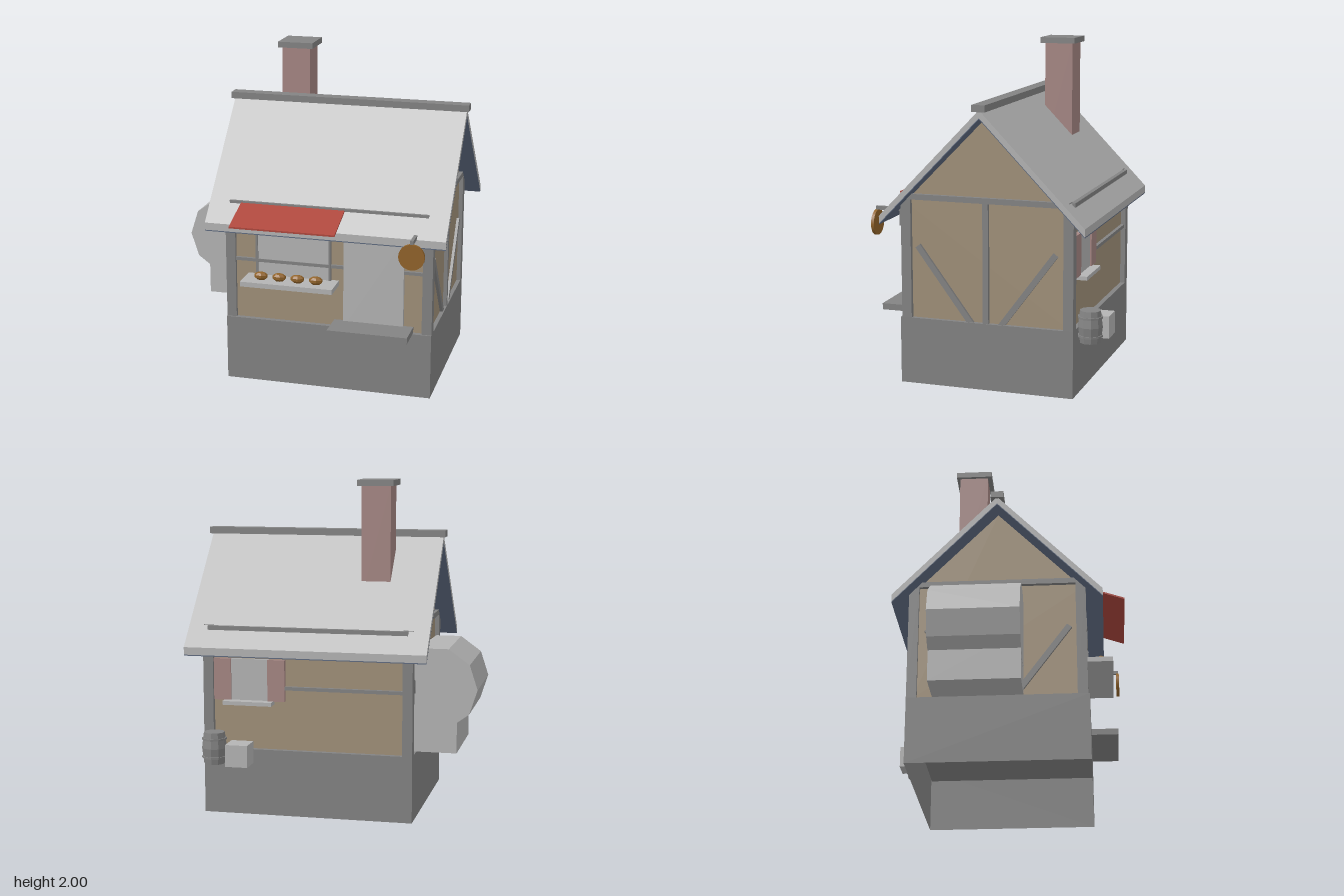
import * as THREE from 'three';

const mat = (name, color, extra = {}) =>
  Object.assign(new THREE.MeshStandardMaterial({ color, ...extra }), { name });

export function createModel() {
  const stone = mat('stone grey', 0x838383, { side: THREE.DoubleSide });
  const timber = mat('timber grey', 0x838383);
  const pale = mat('pale grey', 0xb4b4b4);
  const plaster = mat('tan plaster', 0xa09079);
  const brick = mat('mauve brick', 0xa58683);
  const slate = mat('slate blue', 0x5f6b80);
  const red = mat('awning red', 0xae473d);
  const brown = mat('bread brown', 0x91632a);

  const model = new THREE.Group();
  model.name = 'bakeryHouse';

  const add = (name, geometry, material) => {
    const mesh = new THREE.Mesh(geometry, material);
    mesh.name = name;
    model.add(mesh);
    return mesh;
  };
  // Box given by its limits on each axis
  const box = (name, m, x0, x1, y0, y1, z0, z1) => {
    const mesh = add(name, new THREE.BoxGeometry(x1 - x0, y1 - y0, z1 - z0), m);
    mesh.position.set((x0 + x1) / 2, (y0 + y1) / 2, (z0 + z1) / 2);
    return mesh;
  };
  // Profile of [z, y] points extruded along x
  const extrudeX = (name, m, pts, x0, x1) => {
    const shape = new THREE.Shape(pts.map(([z, y]) => new THREE.Vector2(-z, y)));
    const g = new THREE.ExtrudeGeometry(shape, { depth: x1 - x0, bevelEnabled: false });
    return add(name, g.rotateY(Math.PI / 2).translate(x0, 0, 0), m);
  };
  const faceted = (g) => {
    const flat = g.index ? g.toNonIndexed() : g;
    flat.computeVertexNormals();
    return flat;
  };

  // Foundation, hollow and open underneath, with a floor inside
  const baseGeo = new THREE.BoxGeometry(1.27, 0.4, 1.06);
  const idx = Array.from(baseGeo.index.array);
  idx.splice(18, 6);
  baseGeo.setIndex(idx);
  baseGeo.clearGroups();
  add('foundation', baseGeo, stone).position.set(0.125, 0.2, -0.03);
  box('floor', timber, -0.505, 0.755, 0.33, 0.395, -0.555, 0.495);

  // Walls with gables
  extrudeX('walls', plaster,
    [[0.47, 0.4], [0.47, 1.09], [-0.03, 1.6], [-0.53, 1.09], [-0.53, 0.4]], -0.485, 0.735);

  // Roof, with a coloured underside
  const chevron = (top, bottom) => [
    [0.59, top - 0.64], [-0.03, top], [-0.65, top - 0.64],
    [-0.65, bottom - 0.64], [-0.03, bottom], [0.59, bottom - 0.64]];
  extrudeX('roof', pale, chevron(1.66, 1.615), -0.605, 0.85);
  extrudeX('roofUnderside', slate, chevron(1.615, 1.609), -0.605, 0.85);
  box('ridgeCap', timber, -0.62, 0.865, 1.65, 1.69, -0.07, 0.01);

  // Chimney
  box('chimney', brick, -0.325, -0.148, 1.3, 1.97, -0.285, -0.11);
  box('chimneyCap', timber, -0.345, -0.125, 1.965, 2, -0.305, -0.085);

  // Corner posts and top plates
  for (const x of [-0.51, 0.7]) {
    for (const z of [0.43, -0.56]) box('cornerPost', timber, x, x + 0.06, 0.4, 1.11, z, z + 0.06);
    box('sidePlate', timber, x, x + 0.06, 1.11, 1.143, -0.535, 0.467);
  }
  box('frontPlate', timber, -0.48, 0.73, 1.115, 1.14, 0.43, 0.49);
  box('backPlate', timber, -0.48, 0.73, 1.115, 1.14, -0.56, -0.5);

  // Side studs and diagonal braces
  const brace = (x, z0, y0, z1, y1) => {
    const dz = z1 - z0, dy = y1 - y0;
    const b = add('brace', new THREE.BoxGeometry(0.025, Math.hypot(dz, dy), 0.035), timber);
    b.position.set(x, (y0 + y1) / 2, (z0 + z1) / 2);
    b.rotation.x = Math.atan2(dz, dy);
  };
  for (const x of [-0.49, 0.74]) {
    box('sideStud', timber, x - 0.018, x + 0.018, 0.4, 1.11, -0.048, -0.014);
    brace(x, 0.06, 0.39, 0.39, 0.835);
    brace(x, -0.12, 0.39, -0.45, 0.835);
  }

  // Front rails, serving window and door
  box('frontRail', timber, -0.45, 0.25, 0.765, 0.784, 0.465, 0.488);
  box('frontRail', timber, 0.56, 0.7, 0.765, 0.784, 0.465, 0.488);
  box('servingWindow', pale, -0.31, 0.13, 0.685, 0.955, 0.465, 0.484);
  for (const x of [-0.322, 0.13]) box('windowFrameSide', timber, x, x + 0.014, 0.685, 0.965, 0.465, 0.492);
  box('windowFrameTop', timber, -0.322, 0.144, 0.952, 0.966, 0.465, 0.492);
  box('door', pale, 0.222, 0.588, 0.4, 0.99, 0.465, 0.492);
  box('doorStep', timber, 0.165, 0.648, 0.402, 0.44, 0.48, 0.665);

  // Counter with loaves
  box('counter', pale, -0.375, 0.19, 0.655, 0.685, 0.47, 0.64);
  for (let i = 0; i < 4; i++) {
    const g = faceted(new THREE.SphereGeometry(1, 7, 5)).scale(0.044, 0.026, 0.029);
    add('loaf', faceted(g), brown).position.set(-0.265 + i * 0.113, 0.708, 0.57);
  }

  // Sloping awning
  extrudeX('awning', red, [[0.46, 1.14], [0.72, 1.05], [0.72, 1.04], [0.46, 1.13]], -0.41, 0.227);

  // Hanging round sign on a bracket
  box('signBracket', timber, 0.66, 0.68, 1.02, 1.042, 0.46, 0.682);
  box('signMount', timber, 0.655, 0.685, 0.935, 1.02, 0.48, 0.53);
  const sign = add('sign', new THREE.CylinderGeometry(0.077, 0.077, 0.018, 20), brown);
  sign.rotation.x = Math.PI / 2;
  sign.position.set(0.67, 0.944, 0.678);

  // Oven on the side wall: ten-sided vault on a block
  const vault = faceted(new THREE.CylinderGeometry(0.25, 0.25, 0.53, 10));
  vault.rotateX(Math.PI / 2);
  // turn the vault so one corner points straight out
  vault.rotateZ(Math.PI / 2);
  add('ovenVault', vault, pale).position.set(-0.62, 0.785, -0.145);
  box('ovenBase', pale, -0.75, -0.49, 0.4, 0.7, -0.409, 0.119);

  // Back rail, window, shutters and sill
  box('backRail', timber, -0.45, 0.26, 0.765, 0.786, -0.552, -0.525);
  box('backWindow', pale, 0.36, 0.59, 0.69, 0.945, -0.548, -0.525);
  for (const x of [0.26, 0.59]) box('shutter', brick, x, x + 0.105, 0.695, 0.945, -0.558, -0.53);
  box('backSill', pale, 0.33, 0.63, 0.673, 0.696, -0.605, -0.53);

  // Barrel with two hoops
  const barrel = [[0, 0.325], [0.062, 0.325], [0.074, 0.42], [0.062, 0.515], [0, 0.515]];
  const barrelGeo = new THREE.LatheGeometry(barrel.map(([r, y]) => new THREE.Vector2(r, y)), 10);
  add('barrel', faceted(barrelGeo), timber).position.set(0.672, 0, -0.638);
  for (const y of [0.365, 0.475]) {
    add('barrelHoop', faceted(new THREE.CylinderGeometry(0.074, 0.074, 0.012, 10)), timber)
      .position.set(0.672, y, -0.638);
  }

  // Crate
  box('crate', pale, 0.445, 0.58, 0.325, 0.457, -0.725, -0.59);

  return model;
}
